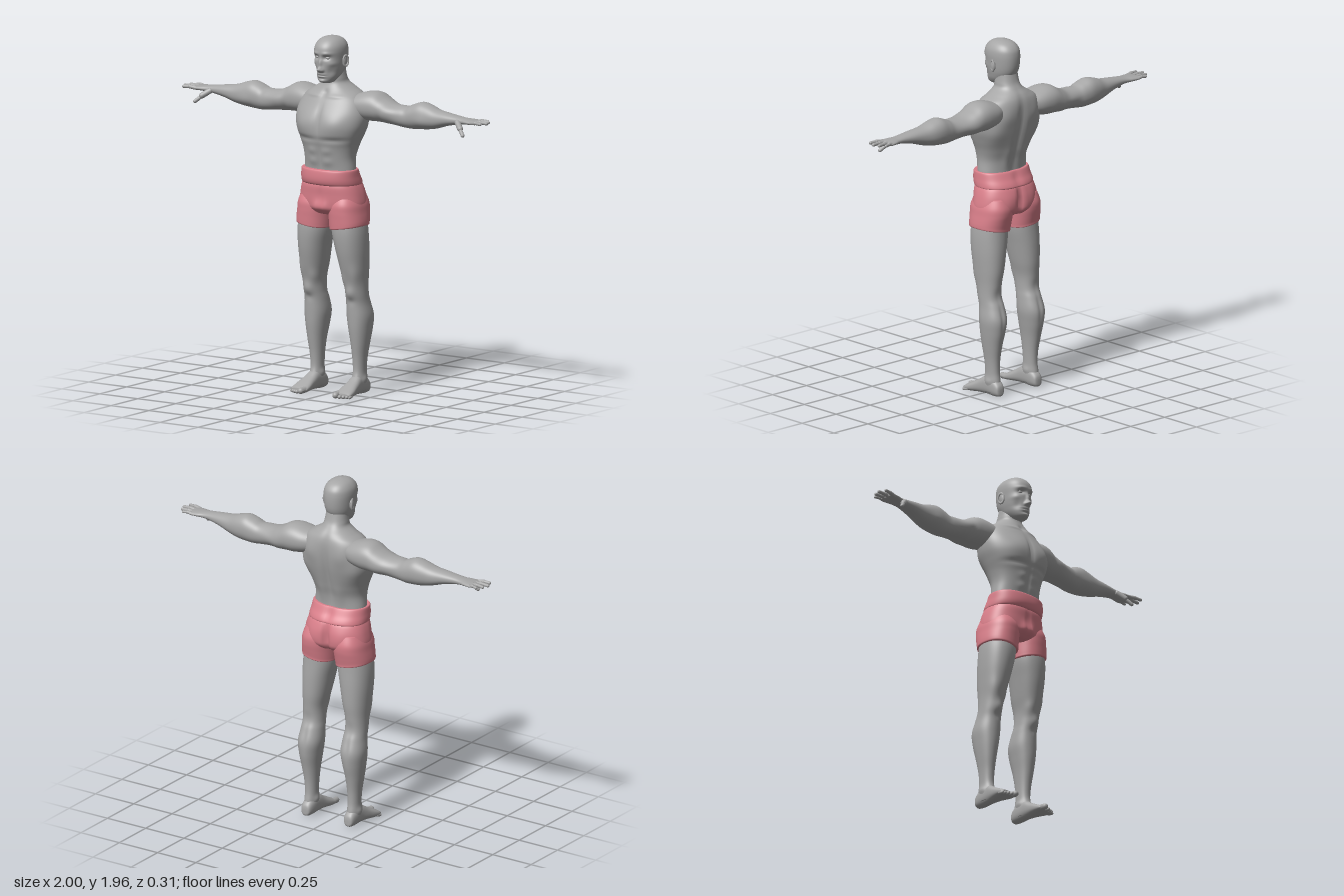
import * as THREE from 'three';

const skin = new THREE.MeshStandardMaterial({ color: 0xa6a6a6 });
skin.name = 'skin';
const cloth = new THREE.MeshStandardMaterial({ color: 0xd97f8a });
cloth.name = 'cloth';

// Smooth curve value between b and c
const spline = (a, b, c, d, t) =>
  b + 0.5 * t * (c - a + t * (2 * a - 5 * b + 4 * c - d + t * (3 * (b - c) + d - a)));

// Loft through rows [t, u0, u1, v0, v1] along an axis: y uses u=z v=x, x uses u=y v=z, z uses u=x v=y.
// Bumps [x, y, z, sx, sy, sz, amount] push the surface outward; they are symmetric in x.
function loft(axis, rows, { n = 48, steps = 6, power = 2.2, bumps = [], warp } = {}) {
  const pos = [], idx = [];
  const order = { x: [0, 1, 2], y: [1, 2, 0], z: [2, 0, 1] }[axis];
  const put = (t, u, v, cu, cv) => {
    const p = [0, 0, 0];
    [t, u, v].forEach((val, k) => { p[order[k]] = val; });
    let push = 0;
    for (const [x, y, z, sx, sy, sz, amt] of bumps) {
      const e = ((Math.abs(p[0]) - x) / sx) ** 2 + ((p[1] - y) / sy) ** 2 + ((p[2] - z) / sz) ** 2;
      push += amt * Math.exp(-e);
    }
    const len = Math.hypot(u - cu, v - cv) || 1;
    p[order[1]] += push * (u - cu) / len;
    p[order[2]] += push * (v - cv) / len;
    if (warp) warp(p);
    pos.push(...p);
  };
  const at = (i) => rows[Math.min(rows.length - 1, Math.max(0, i))];
  const rings = (rows.length - 1) * steps;
  const centres = [];
  for (let i = 0; i <= rings; i++) {
    const k = Math.min(rows.length - 2, Math.floor(i / steps)), f = i / steps - k;
    const [t, u0, u1, v0, v1] = at(k).map((_, c) => spline(at(k - 1)[c], at(k)[c], at(k + 1)[c], at(k + 2)[c], f));
    const cu = (u0 + u1) / 2, cv = (v0 + v1) / 2;
    centres.push([t, cu, cv]);
    for (let j = 0; j < n; j++) {
      const a = (j / n) * Math.PI * 2, c = Math.cos(a), s = Math.sin(a);
      const u = cu + (u1 - u0) / 2 * Math.sign(c) * Math.abs(c) ** (2 / power);
      const v = cv + (v1 - v0) / 2 * Math.sign(s) * Math.abs(s) ** (2 / power);
      put(t, u, v, cu, cv);
      const q = i * n + j, r = i * n + (j + 1) % n;
      if (i < rings) idx.push(q, r, r + n, q, r + n, q + n);
    }
  }
  // End caps
  const base = (rings + 1) * n;
  for (const [t, u, v] of [centres[0], centres[rings]]) put(t, u, v, u, v);
  for (let j = 0; j < n; j++) {
    const k = (j + 1) % n;
    idx.push(base, k, j, base + 1, rings * n + j, rings * n + k);
  }
  const g = new THREE.BufferGeometry();
  g.setAttribute('position', new THREE.Float32BufferAttribute(pos, 3));
  g.setIndex(idx);
  g.computeVertexNormals();
  return g;
}

// Rounded segment between two points
function segment(a, b, r) {
  const A = new THREE.Vector3(...a), B = new THREE.Vector3(...b), d = B.clone().sub(A);
  const g = new THREE.CapsuleGeometry(r, d.length(), 6, 14);
  g.applyQuaternion(new THREE.Quaternion().setFromUnitVectors(new THREE.Vector3(0, 1, 0), d.normalize()));
  return g.translate(...A.add(B).multiplyScalar(0.5).toArray());
}

const ball = (x, y, z, sx, sy, sz) =>
  new THREE.SphereGeometry(1, 20, 14).scale(sx, sy, sz).translate(x, y, z);

function mirrored(g) {
  const m = g.clone().scale(-1, 1, 1), ix = m.index.array;
  for (let i = 0; i < ix.length; i += 3) [ix[i], ix[i + 1]] = [ix[i + 1], ix[i]];
  m.computeVertexNormals();
  return m;
}

export function createModel() {
  const model = new THREE.Group();
  const add = (name, g, mat = skin) => {
    const m = new THREE.Mesh(g, mat);
    m.name = name;
    model.add(m);
  };
  const pair = (name, g, mat) => {
    add(name + 'Left', g, mat);
    add(name + 'Right', mirrored(g), mat);
  };
  // Row with symmetric half width
  const sym = ([y, back, front, w]) => [y, back, front, -w, w];

  // Torso and neck
  add('torso', loft('y', [
    [1.19, -.08, .105, .152], [1.235, -.075, .105, .153], [1.3, -.083, .118, .15], [1.36, -.105, .13, .163],
    [1.42, -.125, .147, .186], [1.48, -.14, .147, .206], [1.54, -.148, .132, .21], [1.6, -.15, .1, .195],
    [1.64, -.145, .075, .165], [1.67, -.132, .056, .115], [1.7, -.108, .043, .073], [1.73, -.09, .04, .064],
    [1.78, -.078, .035, .058],
  ].map(sym), { n: 96, steps: 7, bumps: [
    [.09, 1.49, .14, .07, .06, .06, .012], [0, 1.5, .14, .014, .09, .05, -.012], [.09, 1.405, .13, .09, .014, .06, -.008],
    [0, 1.31, .12, .01, .08, .05, -.007], [.045, 1.34, .12, .028, .02, .05, .005], [.045, 1.28, .11, .028, .02, .05, .005],
    [0, 1.42, -.14, .022, .2, .06, -.018], [.1, 1.56, -.14, .05, .06, .05, .01], [.05, 1.31, -.08, .03, .08, .04, .008],
    [.15, 1.46, -.1, .05, .07, .06, .01], [.07, 1.635, .06, .06, .01, .05, .006], [0, 1.645, .06, .018, .02, .04, -.01],
  ] }));

  // Head with modelled face
  add('head', loft('y', [
    [1.704, .02, .075, .022], [1.714, -.01, .096, .04], [1.74, -.05, .104, .058], [1.77, -.077, .107, .068],
    [1.8, -.09, .109, .074], [1.84, -.096, .111, .078], [1.88, -.096, .115, .08], [1.91, -.089, .107, .075],
    [1.935, -.068, .085, .059], [1.95, -.036, .056, .035], [1.957, .008, .014, .003],
  ].map(sym), { n: 112, steps: 9, bumps: [
    [0, 1.783, .12, .013, .014, .06, .028], [0, 1.815, .12, .009, .025, .06, .014], [.013, 1.778, .12, .007, .008, .06, .008],
    [.033, 1.848, .1, .019, .012, .05, -.014], [.032, 1.87, .1, .024, .009, .05, .005], [.05, 1.77, .09, .018, .025, .04, -.006],
    [.055, 1.815, .08, .018, .014, .04, .004], [0, 1.756, .11, .02, .005, .05, .006], [0, 1.75, .11, .025, .003, .05, -.005],
    [0, 1.743, .11, .018, .005, .05, .006], [0, 1.732, .11, .022, .006, .05, -.004], [0, 1.719, .1, .02, .01, .05, .006],
  ] }));
  pair('eye', ball(.032, 1.847, .086, .014, .009, .012));
  pair('ear', ball(.08, 1.822, -.002, .009, .03, .018).rotateY(0));
  pair('earRim', new THREE.TorusGeometry(.019, .005, 8, 24).scale(.9, 1.5, 1).rotateY(1.25).translate(.086, 1.824, -.004));

  // Arms
  pair('arm', loft('x', [
    [.1, 1.53, 1.635, -.12, .03], [.16, 1.515, 1.652, -.145, .04], [.22, 1.505, 1.666, -.155, .037],
    [.27, 1.505, 1.662, -.155, .03], [.32, 1.502, 1.635, -.148, .022], [.38, 1.5, 1.612, -.128, .016],
    [.45, 1.492, 1.61, -.122, .012], [.5, 1.488, 1.624, -.128, .007], [.55, 1.491, 1.639, -.132, .005],
    [.6, 1.496, 1.63, -.127, .002], [.66, 1.508, 1.61, -.112, 0], [.73, 1.53, 1.6, -.098, -.004],
    [.8, 1.545, 1.591, -.086, -.01], [.84, 1.55, 1.586, -.086, -.008], [.87, 1.553, 1.584, -.094, 0],
    [.91, 1.556, 1.581, -.1, .004], [.927, 1.563, 1.576, -.092, -.004],
  ], { n: 48, steps: 5, bumps: [
    [.36, 1.57, .02, .05, .03, .04, .008], [.38, 1.56, -.13, .06, .03, .04, .007], [.31, 1.53, .02, .02, .05, .05, -.006],
    [.47, 1.6, -.03, .02, .04, .05, -.006], [.58, 1.54, .0, .05, .03, .04, .006],
  ] }));
  // Fingers: base z, tip x, tip z, radius
  [['indexFinger', -.008, .976, .004, .0105], ['middleFinger', -.035, .991, -.034, .011],
    ['ringFinger', -.062, .98, -.068, .0105], ['littleFinger', -.086, .956, -.096, .009]].forEach(([name, z, tx, tz, r]) => {
    const mid = [(.905 + tx) / 2, 1.573, (z + tz) / 2];
    pair(name + 'Base', segment([.9, 1.568, z], mid, r));
    pair(name + 'Tip', segment(mid, [tx, 1.571, tz], r * .85));
  });
  pair('thumbBase', segment([.815, 1.562, -.014], [.85, 1.535, .012], .016));
  pair('thumbTip', segment([.85, 1.533, .012], [.881, 1.504, .032], .0105));

  // Legs
  pair('leg', loft('y', [
    [.02, -.115, 0, .108, .17], [.08, -.112, -.005, .106, .173], [.13, -.105, -.016, .107, .171],
    [.2, -.108, -.012, .104, .176], [.28, -.122, 0, .096, .188], [.36, -.14, .011, .083, .199],
    [.43, -.146, .016, .073, .205], [.5, -.124, .02, .076, .197], [.55, -.107, .03, .08, .195],
    [.62, -.106, .043, .078, .195], [.7, -.114, .066, .06, .2], [.8, -.116, .088, .04, .205],
    [.9, -.113, .098, .021, .203], [1, -.11, .09, .02, .19],
  ], { n: 56, steps: 6, bumps: [
    [.138, .56, .035, .028, .032, .04, .01], [.138, .515, .02, .02, .02, .03, -.005], [.1, .63, .03, .025, .04, .04, .008],
    [.175, .66, .04, .025, .06, .04, .006], [.138, .45, -.14, .012, .07, .04, -.007], [.138, .56, -.1, .03, .04, .04, -.006],
    [.105, .09, -.06, .03, .018, .022, .006], [.172, .08, -.06, .03, .018, .022, .006],
  ] }));

  // Feet
  pair('foot', loft('z', [
    [-.13, .128, .15, .015, .045], [-.122, .112, .166, .004, .07], [-.085, .104, .173, 0, .1],
    [-.03, .103, .175, .003, .108], [.02, .1, .184, .003, .08], [.065, .094, .194, 0, .056],
    [.1, .093, .196, 0, .038], [.118, .098, .188, .004, .027],
  ], { n: 40, steps: 5, power: 2.4 }));
  [.111, .137, .156, .173, .187].forEach((x, i) => {
    const r = i ? .011 - i * .0005 : .017;
    pair('toe' + (i + 1), segment([x, r + .004, .085], [x + .003, r, (i ? .142 - i * .008 : .137) - r * .3], r));
  });

  // Shorts
  add('shortsHips', loft('y', [
    [.985, -.07, .06, .09], [.995, -.105, .085, .15], [1.02, -.13, .108, .187], [1.05, -.137, .115, .193],
    [1.1, -.137, .118, .185], [1.14, -.128, .12, .174], [1.165, -.115, .115, .163],
  ].map(sym), { n: 96, steps: 7, power: 2.4, bumps: [
    [0, 1.06, -.13, .016, .09, .07, -.03], [.08, 1.06, -.13, .05, .06, .05, .008],
    [0, 1.09, .12, .005, .06, .05, -.006], [.018, 1.03, .11, .03, .035, .05, .014],
  ] }), cloth);
  pair('shortsLeg', loft('y', [
    [.917, -.112, .098, .022, .198], [.92, -.12, .106, .012, .206], [.935, -.122, .108, .01, .207],
    [.97, -.13, .11, .007, .204], [1.01, -.138, .112, .005, .199], [1.05, -.138, .11, .01, .193],
    [1.1, -.12, .09, .02, .175],
  ], { n: 56, steps: 5, power: 2.3, warp: (p) => {
    if (p[1] < 1) p[1] += (p[0] - .11) * .15 * Math.min(1, (1 - p[1]) / .06);
  } }), cloth);
  add('waistband', loft('y', [
    [1.15, -.118, .112, .164], [1.156, -.129, .126, .17], [1.175, -.123, .134, .17], [1.2, -.108, .136, .167],
    [1.23, -.093, .133, .164], [1.237, -.087, .127, .16],
  ].map(sym), { n: 80, steps: 4, power: 2.3, bumps: [[0, 1.195, -.11, .025, .05, .04, -.008]] }), cloth);

  return model;
}
